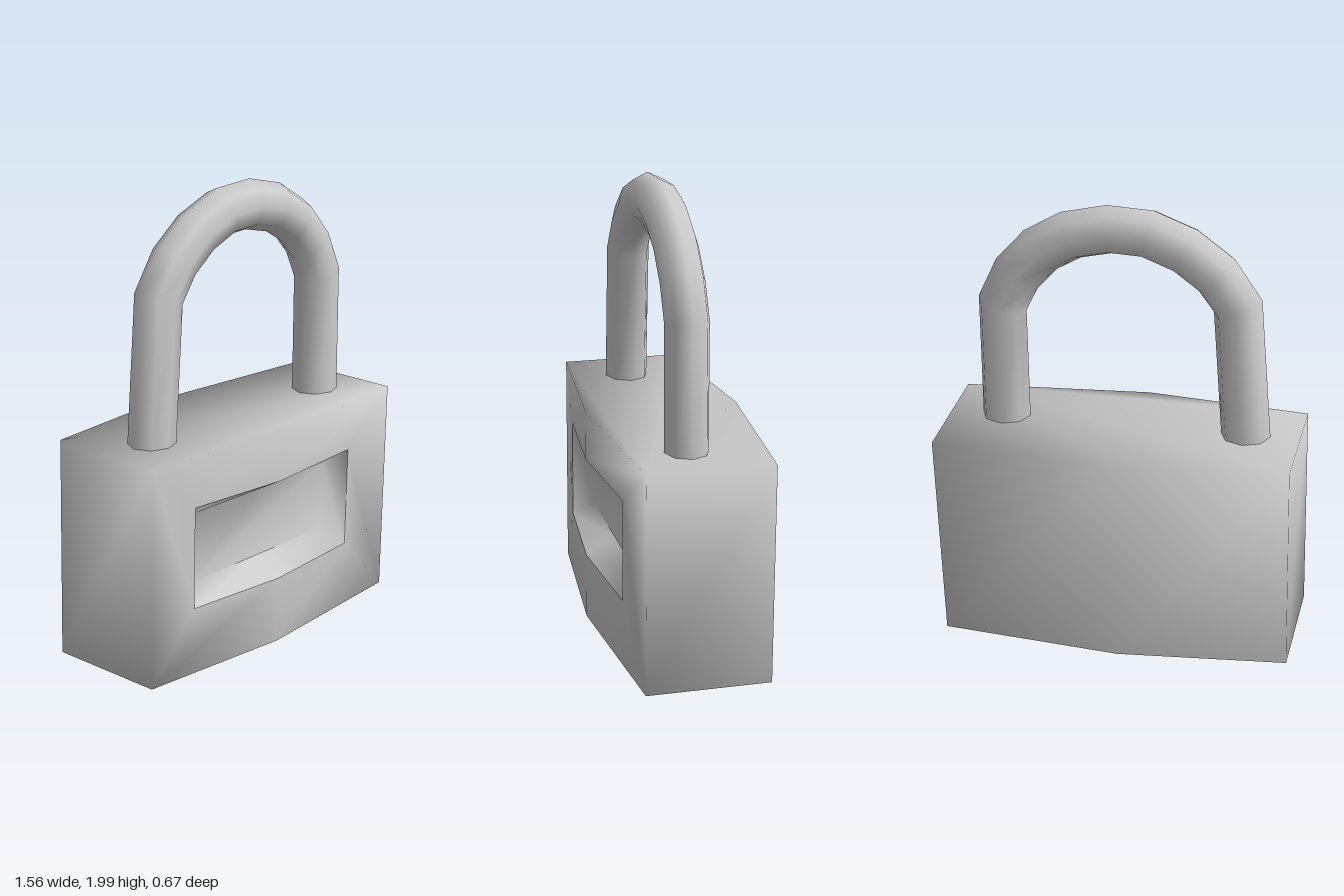
import * as THREE from 'three';
import { mergeGeometries, mergeVertices } from 'three/addons/utils/BufferGeometryUtils.js';

const material = new THREE.MeshStandardMaterial({ color: 0xcccccc });
const inside = new THREE.MeshStandardMaterial({ color: 0xcccccc, side: THREE.DoubleSide });

const HALF = 0.478;           // half the body height
const SEGMENTS = 10;          // arc segments per half circle of a bore
const BORES = [               // holes in the underside
  { name: 'keyBore', x: -0.01, z: 0, r: 0.25, depth: 0.25 },
  { name: 'drainHole', x: -0.475, z: 0.04, r: 0.035, depth: 0.12 },
];

// Triangles from loops of [x, y, z] corners
const fan = (l) => l.slice(2).flatMap((p, i) => [l[0], l[i + 1], p]);
const quad = (a, b, c, d) => [a, b, c, a, c, d];
const band = (a, b) => a.flatMap((p, i) => {
  const j = (i + 1) % a.length;
  return quad(p, a[j], b[j], b[i]);
});

function toGeometry(corners) {
  const g = new THREE.BufferGeometry();
  g.setAttribute('position', new THREE.Float32BufferAttribute(corners.flat(), 3));
  return g;
}

function smooth(g) {
  const merged = mergeVertices(g, 1e-4);
  merged.computeVertexNormals();
  return merged;
}

function mesh(name, geometry, mat = material) {
  const m = new THREE.Mesh(geometry, mat);
  m.name = name;
  return m;
}

function createBody() {
  const body = new THREE.Group();
  body.name = 'body';

  // Six-sided plan [x, z], bulging at the middle of front and back
  const plan = [[0.77, 0.262], [0.77, -0.275], [-0.03, -0.335], [-0.77, -0.26], [-0.77, 0.265], [-0.05, 0.33]];
  const ring = (y) => plan.map(([x, z]) => [x, y, z]);
  const low = ring(-HALF), high = ring(HALF);

  // Front window: rim on the bent front face, smaller flat floor behind it
  const windowLoop = (inset, z) => {
    const l = -0.54 + inset, r = 0.46 - inset, b = -0.185 + inset, t = 0.26 - inset;
    return [[l, b], [-0.05, b], [r, b], [r, t], [-0.05, t], [l, t]].map(([x, y]) => [x, y, z(x)]);
  };
  const rim = windowLoop(0, (x) => 0.33 - Math.abs(x + 0.05) * (x < -0.05 ? 0.09 : 0.083));
  const floor = windowLoop(0.07, () => 0.2);

  // Shell: top, ends, back, and a front frame around the window
  const corners = fan(high);
  for (let i = 0; i < 4; i++) corners.push(...quad(low[i], low[i + 1], high[i + 1], high[i]));
  corners.push(...band([low[4], low[5], low[0], high[0], high[5], high[4]], rim));

  // Underside pierced by the bores
  const outline = new THREE.Shape(plan.map(([x, z]) => new THREE.Vector2(x, z)));
  for (const { x, z, r } of BORES) {
    outline.holes.push(new THREE.Path().absarc(x, z, r, 0, Math.PI * 2, true));
  }
  const under = new THREE.ShapeGeometry(outline, SEGMENTS).toNonIndexed();
  under.deleteAttribute('uv');
  under.deleteAttribute('normal');
  under.rotateX(Math.PI / 2).translate(0, -HALF, 0);

  body.add(mesh('shell', smooth(mergeGeometries([toGeometry(corners), under]))));
  body.add(mesh('windowRecess', smooth(toGeometry([...band(rim, floor), ...fan(floor)]))));

  // Walls and closed ends of the bores
  for (const { name, x, z, r, depth } of BORES) {
    const wall = new THREE.CylinderGeometry(r, r, depth, SEGMENTS * 2, 1, true);
    wall.translate(x, -HALF + depth / 2, z);
    const end = new THREE.CircleGeometry(r, SEGMENTS * 2);
    end.rotateX(Math.PI / 2).translate(x, -HALF + depth, z);
    body.add(mesh(name + 'Wall', wall, inside), mesh(name + 'End', end, inside));
  }

  // The body sits slightly tilted
  body.position.set(-0.0025, 0.5025, 0);
  body.rotation.z = -0.026;
  return body;
}

// Path with one tube ring per point, each ring mitred between its neighbours
class PolylinePath extends THREE.Curve {
  constructor(points) {
    super();
    this.points = points;
  }
  getPointAt(u, target = new THREE.Vector3()) {
    return target.copy(this.points[Math.round(u * (this.points.length - 1))]);
  }
  getTangentAt(u, target = new THREE.Vector3()) {
    const p = this.points, i = Math.round(u * (p.length - 1));
    target.set(0, 0, 0);
    if (i > 0) target.add(p[i].clone().sub(p[i - 1]).normalize());
    if (i < p.length - 1) target.add(p[i + 1].clone().sub(p[i]).normalize());
    return target.normalize();
  }
}

function createShackle() {
  const points = [
    [-0.533, 0.9], [-0.475, 1.6], [-0.38, 1.735], [-0.25, 1.83], [-0.095, 1.888], [0.07, 1.892],
    [0.235, 1.85], [0.365, 1.77], [0.47, 1.65], [0.537, 1.505], [0.533, 0.9],
  ].map(([x, y]) => new THREE.Vector3(x, y, 0));
  const tube = new THREE.TubeGeometry(new PolylinePath(points), points.length - 1, 0.107, 8);
  const shackle = mesh('shackle', tube);
  shackle.scale.z = 0.88;
  shackle.position.z = 0.036;
  return shackle;
}

export function createModel() {
  const model = new THREE.Group();
  model.name = 'padlock';
  model.add(createBody(), createShackle());
  return model;
}
